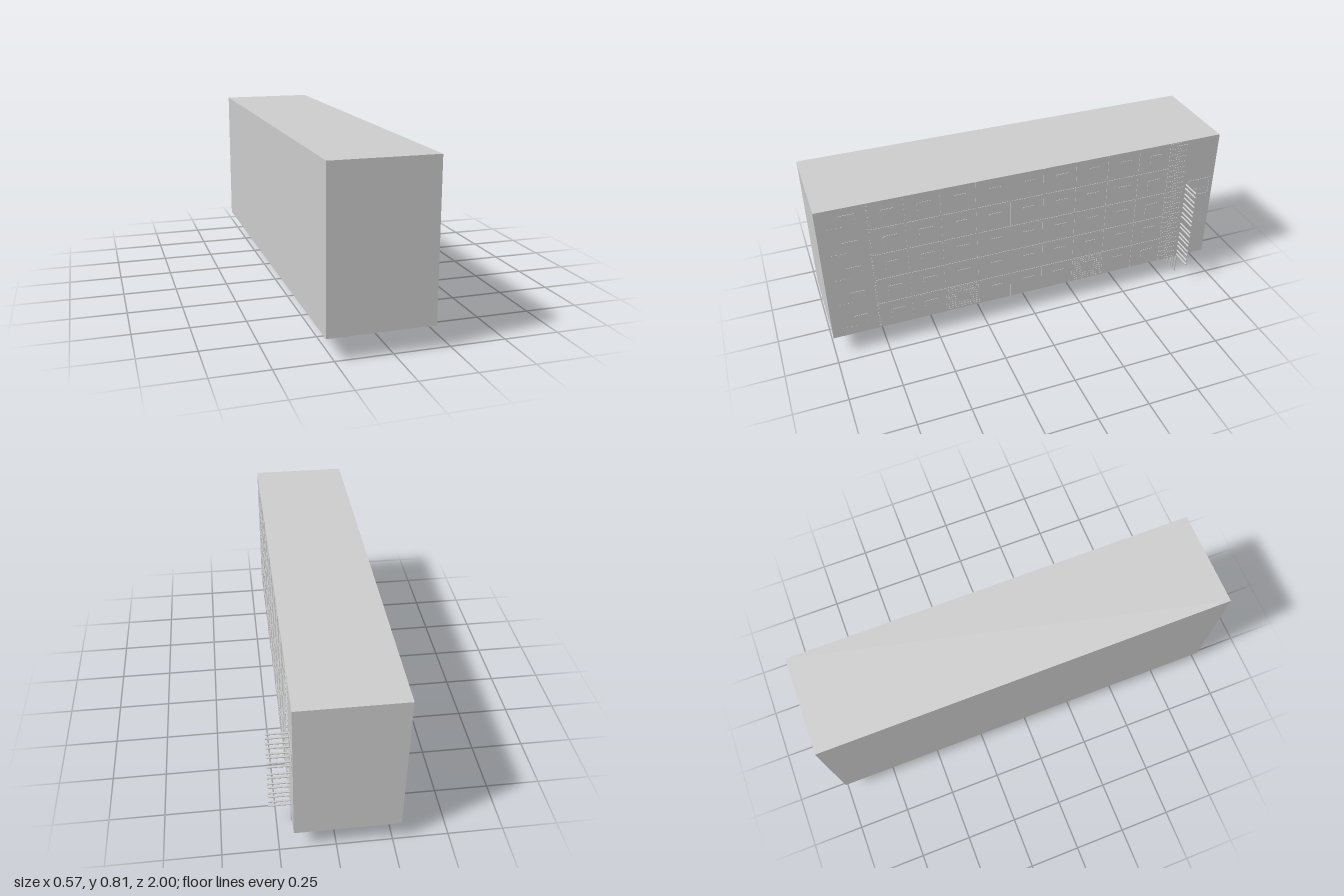
import * as THREE from 'three';
import { mergeGeometries } from 'three/addons/utils/BufferGeometryUtils.js';

// main block limits
const X0 = -0.285, X1 = 0.186, Y0 = 0.1, Y1 = 0.808;
const H = Y1 - Y0, ROWS = 5, ROW = H / ROWS;
const COLS = 9, COL = 0.167, GRID_Z = 0.774, GRID_END = GRID_Z - COLS * COL;
const PIN_Z = -0.845, RELIEF = 0.002;

const material = new THREE.MeshStandardMaterial({ color: 0xcccccc });

function box(w, h, d, x, y, z) {
  return new THREE.BoxGeometry(w, h, d).translate(x, y, z);
}
// low bar lying on the +x face, centred at (y, z)
function sideBar(y, z, h, d) {
  return box(RELIEF, h, d, X1 + RELIEF / 2, y, z);
}
// low bar lying on the underside, centred at (x, z)
function underBar(x, z, w, d, t = RELIEF) {
  return box(w, t, d, x, Y0 - t / 2, z);
}

export function createModel() {
  const group = new THREE.Group();
  const add = (name, parts) => {
    const mesh = new THREE.Mesh(mergeGeometries(parts), material);
    mesh.name = name;
    group.add(mesh);
  };

  add('mainBlock', [box(X1 - X0, H, 2, (X0 + X1) / 2, (Y0 + Y1) / 2, 0)]);

  // side pins, in pairs up the +x face
  const pinY = [0.11, 0.135, 0.167, 0.191, 0.226, 0.25, 0.287, 0.31,
    0.354, 0.378, 0.411, 0.434, 0.468, 0.493, 0.525, 0.549];
  add('sidePins', pinY.map(y => new THREE.CylinderGeometry(0.0045, 0.0045, 0.1, 10)
    .rotateZ(Math.PI / 2).translate(0.234, y, PIN_Z)));

  // pins under the block
  const pinX = [-0.086, -0.06, -0.032, 0, 0.026, 0.054, 0.081, 0.107, 0.136, 0.156, 0.182];
  add('bottomPins', pinX.map(x => new THREE.CylinderGeometry(0.0045, 0.0045, 0.102, 10)
    .translate(x, 0.051, PIN_Z)));

  // grid lines of the side face
  const lines = [];
  for (let c = 1; c <= COLS; c++) lines.push(sideBar(Y0 + H / 2, GRID_Z - c * COL, H, 0.004));
  for (let r = 1; r < ROWS; r++) {
    lines.push(sideBar(Y0 + r * ROW, (GRID_Z + GRID_END) / 2, 0.004, GRID_Z - GRID_END));
  }
  add('sideGrid', lines);

  // dotted divider
  const dots = [];
  for (let y = Y0 + 0.01; y < Y1; y += 0.02) dots.push(sideBar(y, GRID_Z, 0.01, 0.008));
  add('dottedDivider', dots);

  // marks and perforated squares in the grid cells
  const marks = [], studs = [];
  for (let c = 0; c < COLS; c++) {
    for (let r = 0; r < ROWS; r++) {
      const y = Y0 + (r + 0.5) * ROW, z = GRID_Z - (c + 0.5) * COL;
      if (r === 0 && (c === 2 || c === 6)) {
        // ring of studs around a clear centre
        for (let i = 0; i < 10; i++) {
          for (let j = 0; j < 10; j++) {
            if (i > 2 && i < 7 && j > 2 && j < 7) continue;
            studs.push(sideBar(y + (i - 4.5) * 0.0135, z + (j - 4.5) * 0.0155, 0.007, 0.008));
          }
        }
        continue;
      }
      marks.push(sideBar(y + 0.02, z - 0.01, 0.007, 0.06));
      if (c < 2 || c === COLS - 1) marks.push(sideBar(y - 0.005, z + 0.022, 0.05, 0.007));
    }
  }
  add('cellMarks', marks);
  add('studSquares', studs);

  // marks on the front end of the side face
  const endMarks = [];
  for (let r = 0; r < ROWS; r++) {
    const y = Y0 + (r + 0.5) * ROW;
    endMarks.push(sideBar(y + 0.03, 0.86, 0.006, 0.07), sideBar(y, 0.826, 0.055, 0.006));
    for (let i = 0; i < 4; i++) endMarks.push(sideBar(y - 0.03, 0.95 - i * 0.02, 0.008, 0.008));
  }
  add('endMarks', endMarks);

  // dense contact strip beside the pins
  const strip = [];
  for (let i = 0; i < 46; i++) {
    const y = Y0 + (i + 0.5) * H / 46;
    strip.push(sideBar(y, i % 2 ? -0.76 : -0.795, 0.007, 0.06));
  }
  add('contactStrip', strip);

  // small framed socket near the back end
  const socket = [];
  for (const s of [-1, 1]) {
    socket.push(sideBar(0.52 + s * 0.045, -0.92, 0.005, 0.125));
    socket.push(sideBar(0.52, -0.92 + s * 0.06, 0.09, 0.005));
  }
  for (let i = 0; i < 4; i++) socket.push(sideBar(0.51, -0.89 - i * 0.02, 0.008, 0.008));
  add('sideSocket', socket);

  // flat plates under the block
  const plates = [];
  for (let c = 0; c < 10; c++) {
    const z = 0.857 - c * COL;
    for (const x of [0.1, -0.075, -0.22]) {
      plates.push(underBar(x, z, 0.12, 0.13));
      plates.push(underBar(x, z, 0.08, 0.008, 0.004));
    }
  }
  add('underPlates', plates);

  // ribbed contacts under the block
  const ribs = [];
  for (const z of [0.857, 0.69, 0.19, -0.143, -0.31, -0.643]) {
    for (let i = 0; i < 6; i++) ribs.push(underBar(-0.267 + i * 0.0085, z, 0.004, 0.162, 0.007));
    for (let i = 0; i < 4; i++) ribs.push(underBar(-0.087 + i * 0.0095, z, 0.004, 0.162, 0.006));
  }
  add('underRibs', ribs);

  return group;
}
